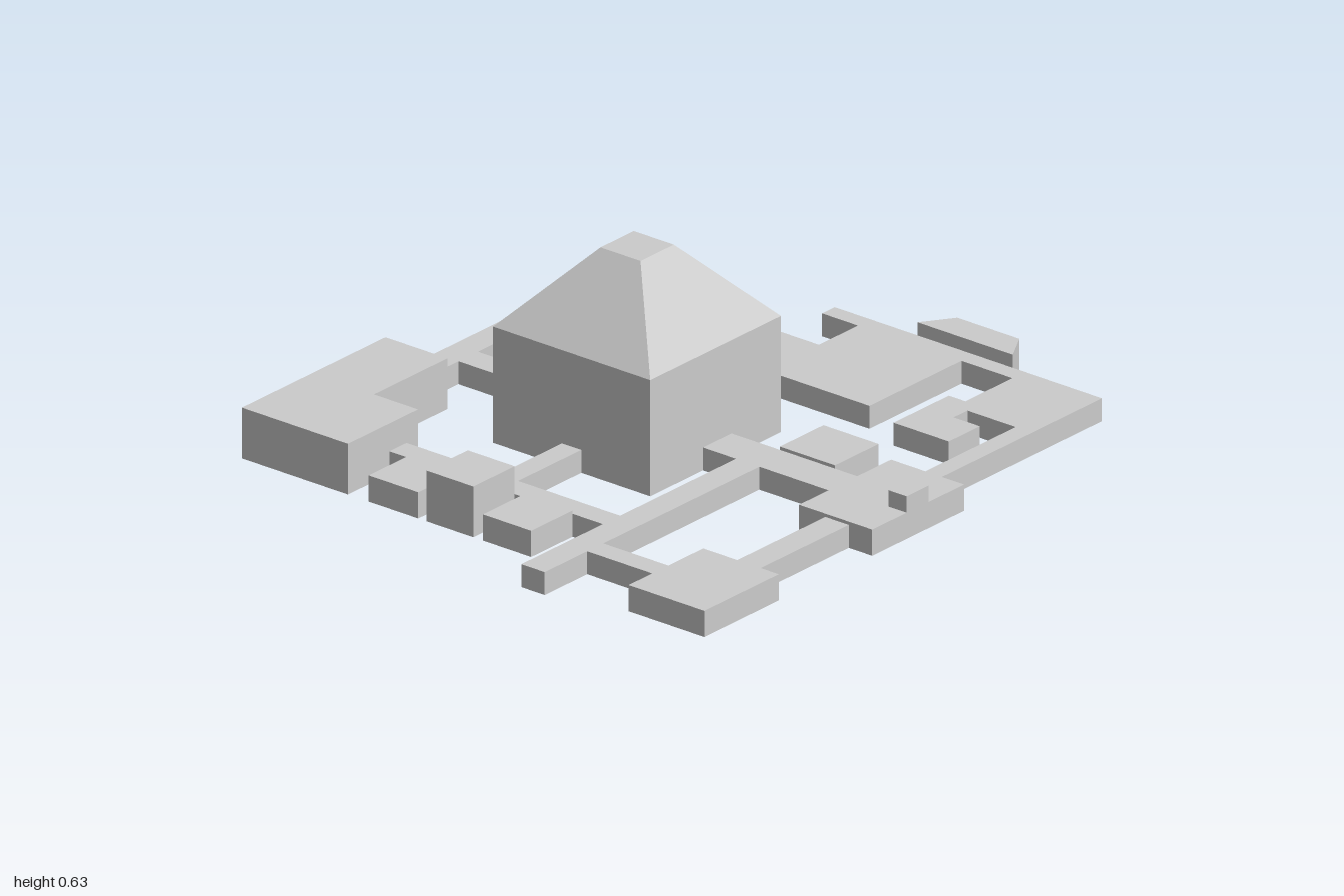
import * as THREE from 'three';

const FLOOR = 0.045, LOW = 0.115, MID = 0.125, TALL = 0.2;

export function createModel() {
  const model = new THREE.Group();
  const material = new THREE.MeshStandardMaterial({ color: 0xcccccc, flatShading: true });

  const add = (name, geometry) => {
    const mesh = new THREE.Mesh(geometry, material);
    mesh.name = name;
    model.add(mesh);
    return mesh;
  };
  // Box given by its plan rectangle and height range
  const block = (name, x0, x1, z0, z1, top = LOW, bottom = FLOOR) =>
    add(name, new THREE.BoxGeometry(x1 - x0, top - bottom, z1 - z0))
      .position.set((x0 + x1) / 2, (top + bottom) / 2, (z0 + z1) / 2);
  // Upright slab from a plan outline of [x, z] points
  const slab = (name, outline, top) => {
    const shape = new THREE.Shape(outline.map(([x, z]) => new THREE.Vector2(x, -z)));
    const geometry = new THREE.ExtrudeGeometry(shape, { depth: top - FLOOR, bevelEnabled: false });
    add(name, geometry.rotateX(-Math.PI / 2).translate(0, FLOOR, 0));
  };

  // Great hall with its hipped, flat-topped roof
  const cx = -0.01, cz = -0.135;
  block('hallWalls', -0.295, 0.275, -0.42, 0.15, 0.4);
  const roof = new THREE.CylinderGeometry(0.0725 * Math.SQRT2, 0.285 * Math.SQRT2, 0.23, 4);
  add('hallRoof', roof.rotateY(Math.PI / 4)).position.set(cx, 0.515, cz);

  // Back-left wing and long back corridor
  slab('backWing', [[-0.825, -0.89], [-0.2, -0.89], [-0.2, -0.665], [-0.52, -0.665],
    [-0.52, -0.505], [-0.825, -0.505]], TALL);
  block('backCorridor', -0.2, 0.905, -0.835, -0.75);
  block('backCorridorDoor', 0.905, 0.912, -0.815, -0.77, 0.105, 0.05);
  block('backLink', -0.05, 0.035, -0.75, -0.42);

  // Side corridor with three cells, the middle one taller
  block('cellCorridor', -0.645, -0.57, -0.505, 0.27);
  block('cellLink', -0.57, -0.295, -0.17, -0.1);
  [[-0.43, -0.25, MID], [-0.22, -0.05, TALL], [-0.015, 0.16, MID]].forEach(([z0, z1, top]) =>
    block('cell', -0.825, -0.645, z0, z1, top));

  // Front corridors and rooms
  block('crossCorridor', -1, -0.065, 0.27, 0.355);
  block('cornerLink', -0.815, -0.745, 0.355, 0.605);
  block('cornerRoom', -0.935, -0.61, 0.605, 0.88, MID);
  block('frontCorridor', -0.61, -0.21, 0.715, 0.8);
  block('hallCorridor', -0.065, 0.06, 0.15, 0.62);
  block('sideChamber', 0.06, 0.25, 0.325, 0.525, MID);
  block('gateRoom', -0.21, 0.19, 0.62, 0.885, MID);
  block('gateTurret', -0.06, 0.035, 0.82, 0.885, 0.175, MID);
  block('gateShaft', -0.055, 0.03, 0.72, 0.8, FLOOR, 0);

  // Right-hand wing: one winding outline of rooms and passages
  slab('rightWing', [[0.275, -0.2], [0.68, -0.2], [0.68, -0.05], [0.85, -0.05], [0.85, -0.18],
    [0.905, -0.18], [0.905, 0.79], [0.19, 0.79], [0.19, 0.73], [0.6, 0.73], [0.6, 0.555],
    [0.54, 0.555], [0.54, 0.65], [0.405, 0.65], [0.405, 0.45], [0.645, 0.45], [0.645, 0.51],
    [0.85, 0.51], [0.85, 0.325], [0.45, 0.325], [0.45, -0.145], [0.275, -0.145]], LOW);
  slab('bay', [[0.905, 0.12], [1, 0.185], [1, 0.41], [0.905, 0.465]], 0.155);

  // Small studs under the hall: four outer pairs and a central ring
  const stud = (x, z, r) =>
    add('floorStud', new THREE.CylinderGeometry(r, r * 0.7, 0.009, 8))
      .position.set(cx + x, FLOOR - 0.0045, cz + z);
  for (let i = 0; i < 4; i++) {
    const a = i * Math.PI / 2, c = Math.cos(a), s = Math.sin(a);
    for (const t of [-0.032, 0.032]) stud(0.13 * c - t * s, 0.13 * s + t * c, 0.014);
  }
  for (let i = 0; i < 6; i++) {
    const a = i * Math.PI / 3;
    stud(0.033 * Math.cos(a), 0.033 * Math.sin(a), 0.009);
  }
  stud(0, 0, 0.014);

  return model;
}
